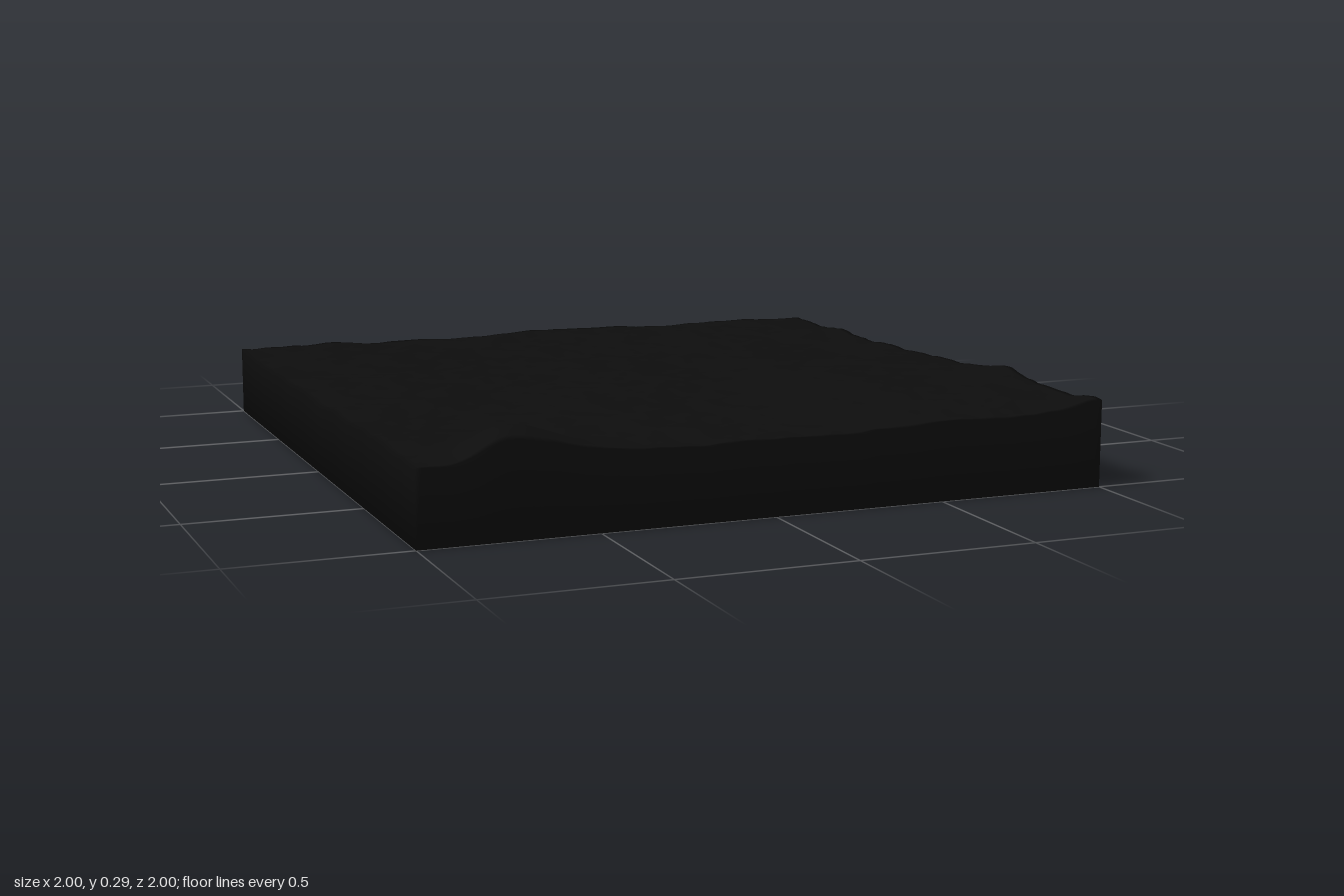
import * as THREE from 'three';

const N = 120; // grid cells per side
const { smoothstep, lerp } = THREE.MathUtils;

// Repeatable value noise in -1..1
function hash(i, j) {
  const s = Math.sin(i * 127.1 + j * 311.7) * 43758.5453;
  return (s - Math.floor(s)) * 2 - 1;
}
function noise(x, z) {
  const i = Math.floor(x), j = Math.floor(z);
  const u = smoothstep(x - i, 0, 1), v = smoothstep(z - j, 0, 1);
  return lerp(lerp(hash(i, j), hash(i + 1, j), u), lerp(hash(i, j + 1), hash(i + 1, j + 1), u), v);
}

// Mound with separate slopes on its left and right
function mound(x, z, cx, cz, height, left, right, depth) {
  const dx = (x - cx) / (x < cx ? left : right), dz = (z - cz) / depth;
  return height * Math.exp(-dx * dx - dz * dz);
}

function groundHeight(x, z) {
  let y = 0.2 + 0.012 * smoothstep(z, -0.6, 0.5);
  // broad rise towards the front right, and the steep hill in the front left
  y += 0.03 * smoothstep(x, 0.05, 0.55) * smoothstep(z, -0.25, 0.45) * (1 - 0.6 * smoothstep(z, 0.75, 1));
  y += mound(x, z, -0.74, 0.93, 0.08, 0.1, 0.2, 0.13);
  y += mound(x, z, 0.95, 0.48, 0.014, 0.12, 0.12, 0.07);
  y += mound(x, z, 1, 0.97, 0.025, 0.1, 0.1, 0.1);
  // small knolls
  y += mound(x, z, -0.5, 0.7, 0.014, 0.06, 0.08, 0.05);
  y += mound(x, z, 0.08, 0.6, 0.01, 0.05, 0.06, 0.04);
  y += mound(x, z, -0.18, 0.85, 0.016, 0.04, 0.08, 0.06);
  // low folds, longer across than deep
  y += 0.006 * noise(x * 4 + 9, z * 6 + 3) + 0.0035 * noise(x * 10 + 40, z * 16 + 7);
  return y + 0.002 * noise(x * 24 + 80, z * 32 + 50);
}

function slabGeometry() {
  const positions = [], index = [];
  const at = (i, j) => j * (N + 1) + i;

  // Uneven top
  for (let j = 0; j <= N; j++) for (let i = 0; i <= N; i++) {
    const x = (2 * i) / N - 1, z = (2 * j) / N - 1;
    positions.push(x, groundHeight(x, z), z);
  }
  for (let j = 0; j < N; j++) for (let i = 0; i < N; i++) {
    const a = at(i, j), b = at(i, j + 1), c = at(i + 1, j), d = at(i + 1, j + 1);
    index.push(a, b, c, c, b, d);
  }

  // Rim, followed round all four sides
  const rim = [];
  for (let k = 0; k < N; k++) rim.push(at(0, k));
  for (let k = 0; k < N; k++) rim.push(at(k, N));
  for (let k = 0; k < N; k++) rim.push(at(N, N - k));
  for (let k = 0; k < N; k++) rim.push(at(N - k, 0));

  // Straight sides and flat underside, sharing vertices for smooth shading
  const base = positions.length / 3, centre = base + rim.length;
  rim.forEach((t) => positions.push(positions[t * 3], 0, positions[t * 3 + 2]));
  positions.push(0, 0, 0);
  rim.forEach((t0, k) => {
    const n = (k + 1) % rim.length, t1 = rim[n], b0 = base + k, b1 = base + n;
    index.push(b0, b1, t1, b0, t1, t0, centre, b1, b0);
  });

  const geometry = new THREE.BufferGeometry();
  geometry.setAttribute('position', new THREE.Float32BufferAttribute(positions, 3));
  geometry.setIndex(index);
  geometry.computeVertexNormals();
  return geometry;
}

export function createModel() {
  const group = new THREE.Group();
  group.name = 'terrainTile';
  const darkGround = new THREE.MeshStandardMaterial({ color: 0x0d0d0d });
  darkGround.name = 'darkGround';
  const slab = new THREE.Mesh(slabGeometry(), darkGround);
  slab.name = 'groundSlab';
  group.add(slab);
  return group;
}
